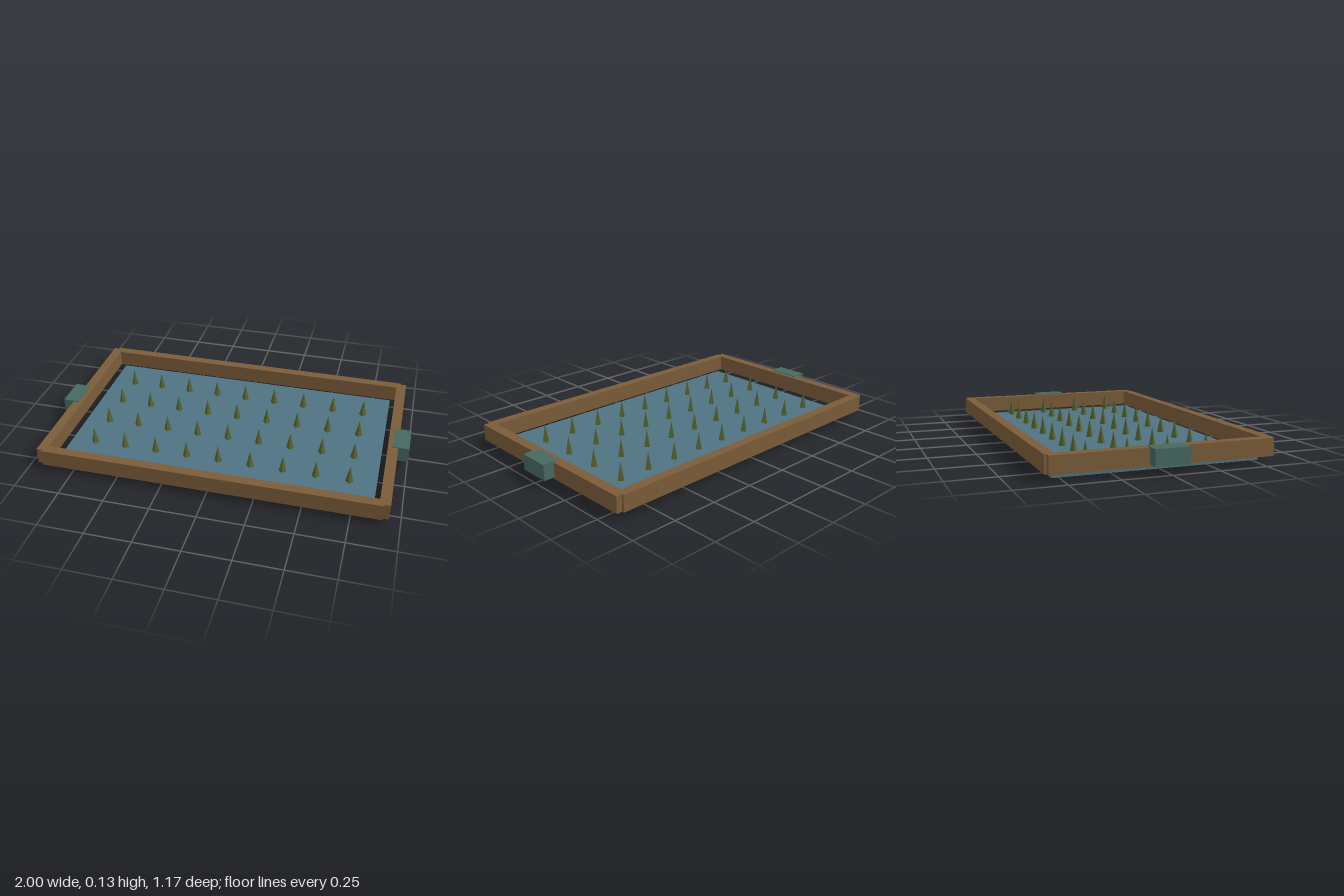
import * as THREE from 'three';

const mat = (color) => new THREE.MeshStandardMaterial({ color, flatShading: true });

export function createModel() {
  const model = new THREE.Group();
  const wood = mat(0x7a5c3a);
  const plate = mat(0x4f7282);
  const grip = mat(0x45695f);
  const spikeMat = mat(0x56652f);

  const addBox = (name, material, size, position) => {
    const mesh = new THREE.Mesh(new THREE.BoxGeometry(...size), material);
    mesh.name = name;
    mesh.position.set(...position);
    model.add(mesh);
  };

  // Base plate below the frame
  addBox('basePlate', plate, [1.715, 0.025, 1.07], [0, 0.0125, 0]);

  // Frame rails and end handles, mirrored
  for (const s of [1, -1]) {
    addBox(s > 0 ? 'frontRail' : 'backRail', wood, [1.82, 0.09, 0.053], [0, 0.079, s * 0.557]);
    addBox(s > 0 ? 'leftRail' : 'rightRail', wood, [0.056, 0.09, 1.142], [s * 0.913, 0.079, 0]);
    addBox(s > 0 ? 'leftHandle' : 'rightHandle', grip, [0.09, 0.085, 0.178], [s * 0.955, 0.0855, 0]);
  }

  // Grid of four-sided spikes, 9 by 4
  const spikes = new THREE.Group();
  spikes.name = 'spikes';
  const spikeGeo = new THREE.ConeGeometry(0.021, 0.098, 4);
  for (let row = 0; row < 4; row++) {
    for (let col = 0; col < 9; col++) {
      const spike = new THREE.Mesh(spikeGeo, spikeMat);
      spike.name = 'spike';
      spike.position.set((col - 4) * 0.1783, 0.085, (row - 1.5) * 0.2143);
      spikes.add(spike);
    }
  }
  model.add(spikes);
  return model;
}
